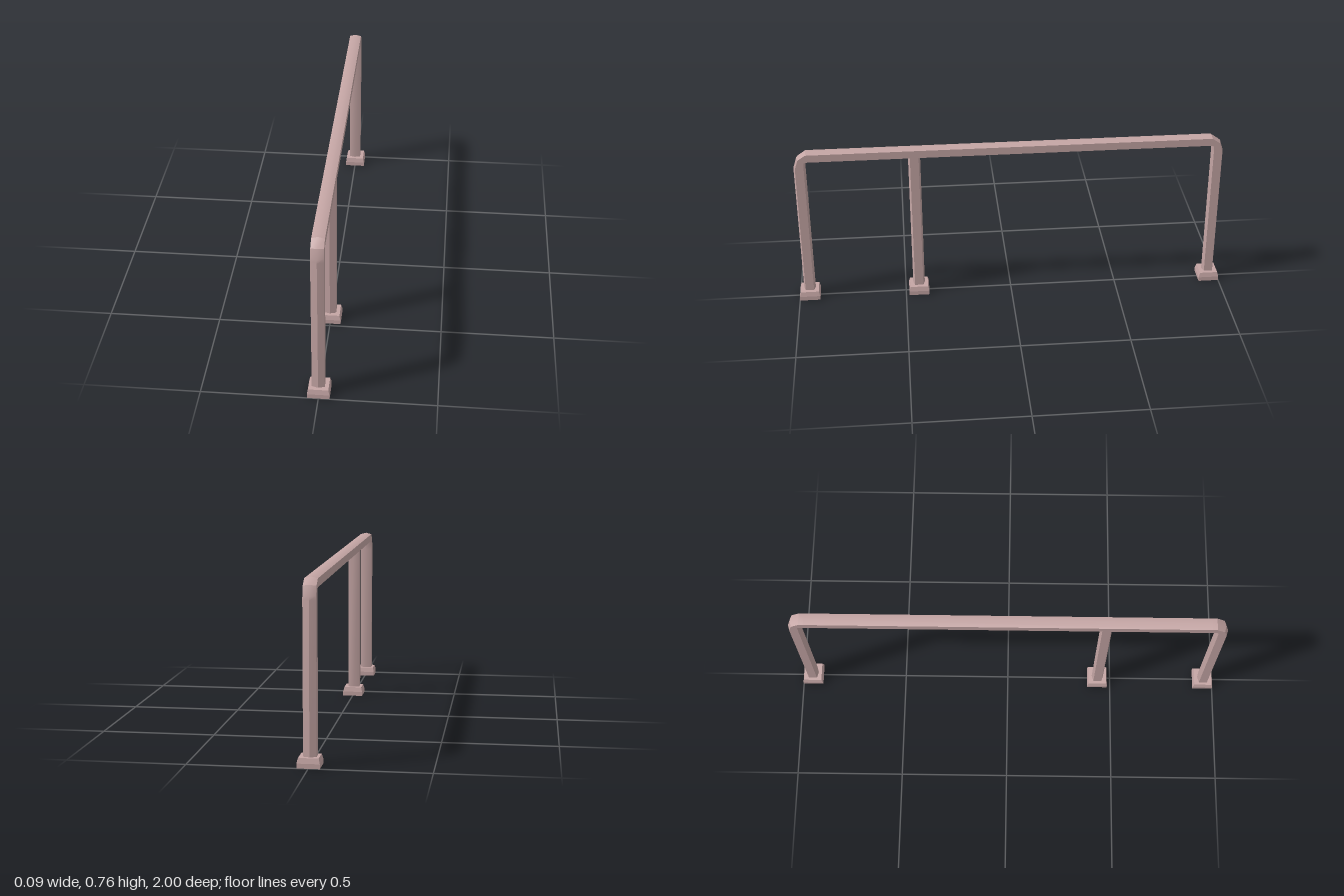
import * as THREE from 'three';
import { toCreasedNormals } from 'three/addons/utils/BufferGeometryUtils.js';

const CREASE = 0.56;
const HALF_WIDTH = 0.0275;
const CENTRE_X = -0.0025;

// Hexagonal bar: each station is [outerZ, outerY, innerZ, innerY]
function hexBar(stations) {
  // [x, fraction from outer ridge to inner ridge]
  const section = [[0, 0], [1, 0.15], [1, 0.86], [0, 1], [-1, 0.86], [-1, 0.15]];
  const n = section.length;
  const positions = [];
  const index = [];
  for (const [oz, oy, iz, iy] of stations) {
    for (const [x, t] of section) {
      positions.push(x * HALF_WIDTH, oy + (iy - oy) * t, oz + (iz - oz) * t);
    }
  }
  for (let i = 0; i < stations.length - 1; i++) {
    for (let j = 0; j < n; j++) {
      const a = i * n + j;
      const b = i * n + (j + 1) % n;
      index.push(a, b, b + n, a, b + n, a + n);
    }
  }
  // End caps
  const last = (stations.length - 1) * n;
  for (let j = 1; j < n - 1; j++) {
    index.push(0, j + 1, j, last, last + j, last + j + 1);
  }
  const geometry = new THREE.BufferGeometry();
  geometry.setAttribute('position', new THREE.Float32BufferAttribute(positions, 3));
  geometry.setIndex(index);
  return toCreasedNormals(geometry, CREASE);
}

// Square foot with a chamfered upper half and a recess underneath
function footGeometry() {
  const profile = [
    [0.03, 0.02], [0.03, 0], [0.0475, 0], [0.0475, 0.02], [0.042, 0.042], [0.02, 0.042],
  ].map(([half, y]) => new THREE.Vector2(half * Math.SQRT2, y));
  const geometry = new THREE.LatheGeometry(profile, 4);
  geometry.rotateY(Math.PI / 4);
  return toCreasedNormals(geometry, 0.2);
}

export function createModel() {
  const group = new THREE.Group();
  group.name = 'handrail';
  const material = new THREE.MeshStandardMaterial({ color: 0xc4a5a4, side: THREE.DoubleSide });

  const add = (name, geometry, x, z = 0) => {
    const mesh = new THREE.Mesh(geometry, material);
    mesh.name = name;
    mesh.position.set(x, 0, z);
    group.add(mesh);
  };

  // Top rail and end posts as one bent bar, mirrored front to back
  const half = [
    [0.98, 0.015, 0.925, 0.015],
    [0.98, 0.675, 0.925, 0.675],
    [0.978, 0.69, 0.925, 0.714],
    [0.964, 0.735, 0.925, 0.714],
    [0.922, 0.764, 0.925, 0.714],
    [0.9, 0.764, 0.9, 0.714],
  ];
  const mirrored = half.map(([oz, oy, iz, iy]) => [-oz, oy, -iz, iy]).reverse();
  add('railAndEndPosts', hexBar([...half, ...mirrored]), CENTRE_X);

  // Middle post, running up into the rail
  add('middlePost', hexBar([
    [0.465, 0.015, 0.41, 0.015],
    [0.465, 0.735, 0.41, 0.735],
  ]), CENTRE_X);

  // Feet
  const foot = footGeometry();
  add('frontFoot', foot, 0, 0.9525);
  add('middleFoot', foot, 0, 0.4375);
  add('backFoot', foot, 0, -0.9525);

  return group;
}
